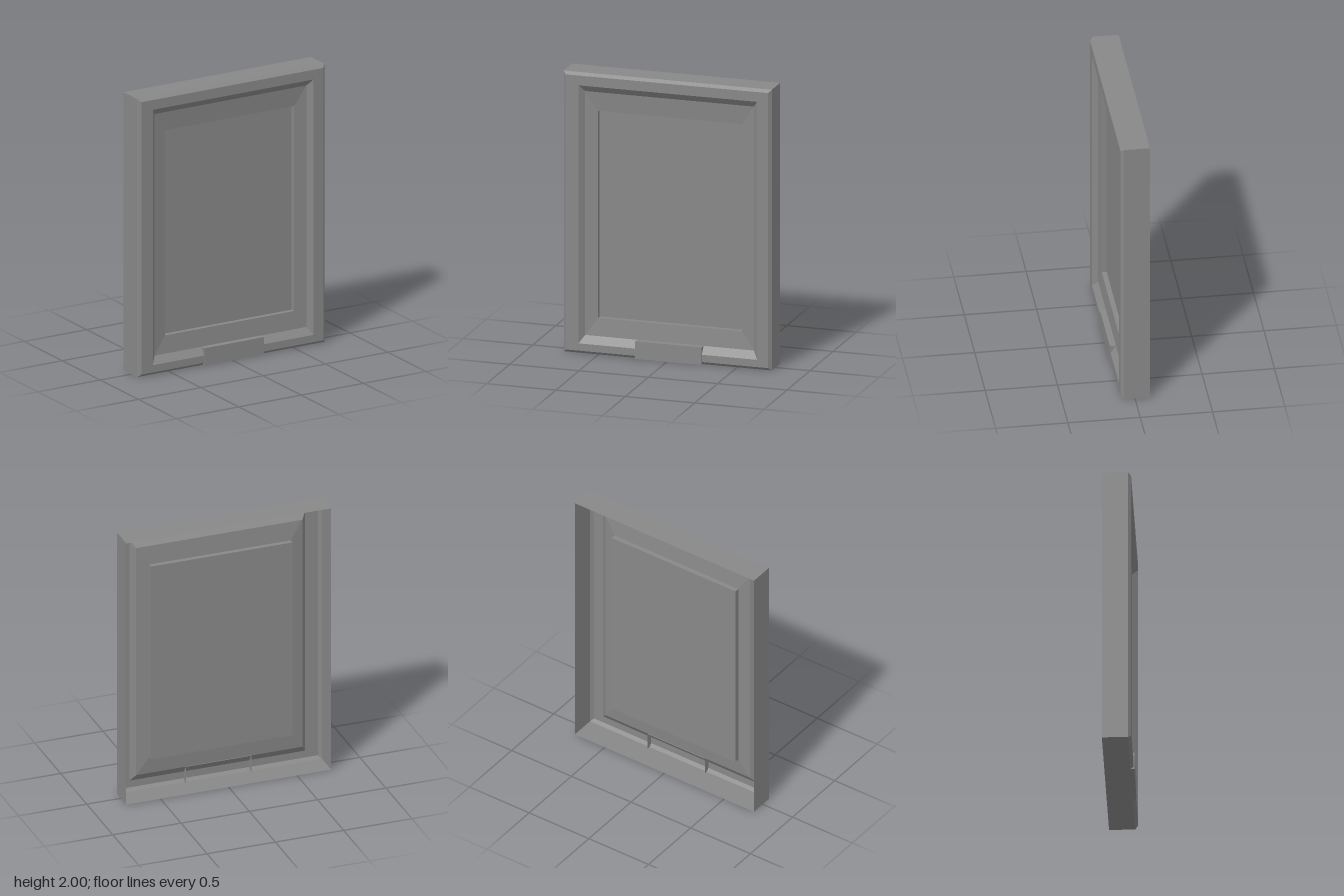
import * as THREE from 'three';

const material = new THREE.MeshStandardMaterial({ color: 0x888888, side: THREE.DoubleSide, flatShading: true });

const v = (x, y, z) => new THREE.Vector3(x, y, z);

// Rectangular ring, counter-clockwise from the front
const ring = (x0, x1, y0, y1, z) => [v(x0, y0, z), v(x1, y0, z), v(x1, y1, z), v(x0, y1, z)];

// Flat-shaded mesh from quads
function quadMesh(name, quads) {
  const points = quads.flatMap(([a, b, c, d]) => [a, b, c, a, c, d]);
  const geometry = new THREE.BufferGeometry().setFromPoints(points);
  geometry.computeVertexNormals();
  const mesh = new THREE.Mesh(geometry, material);
  mesh.name = name;
  return mesh;
}

// Four quads joining two rings
const bandQuads = (a, b) => a.map((p, i) => {
  const j = (i + 1) % a.length;
  return [p, a[j], b[j], b[i]];
});

export function createModel() {
  const group = new THREE.Group();
  group.name = 'pictureFrame';

  // Cross-section rings, from the open back rim in to the picture panel
  const back = ring(-0.75, 0.75, 0, 2, -0.103);
  const edge = ring(-0.75, 0.75, 0, 2, 0.076);
  const face = ring(-0.73, 0.73, 0.02, 1.98, 0.097);
  const opening = ring(-0.637, 0.65, 0.072, 1.91, 0.097);
  const bevel = ring(-0.602, 0.615, 0.125, 1.863, 0.06);
  const matEdge = ring(-0.512, 0.525, 0.252, 1.727, 0.048);
  const panel = ring(-0.512, 0.525, 0.252, 1.727, 0.014);

  const bands = [
    ['outerWall', back, edge],
    ['outerChamfer', edge, face],
    ['frontBorder', face, opening],
    ['innerBevel', opening, bevel],
    ['mat', bevel, matEdge],
    ['panelStep', matEdge, panel]
  ];
  for (const [name, a, b] of bands) group.add(quadMesh(name, bandQuads(a, b)));
  group.add(quadMesh('picturePanel', [panel]));

  // Tab: open-backed box pushed through the lower border, its cheeks showing behind it
  const tabFront = ring(-0.227, 0.252, 0, 0.126, 0.102);
  const tabBack = ring(-0.227, 0.252, 0, 0.126, 0.054);
  const [, right, top, left] = bandQuads(tabBack, tabFront);
  // The underside starts where the outer wall ends
  const underside = [v(-0.227, 0, 0.076), v(0.252, 0, 0.076), tabFront[1], tabFront[0]];
  group.add(quadMesh('tab', [tabFront, right, top, left, underside]));

  return group;
}
